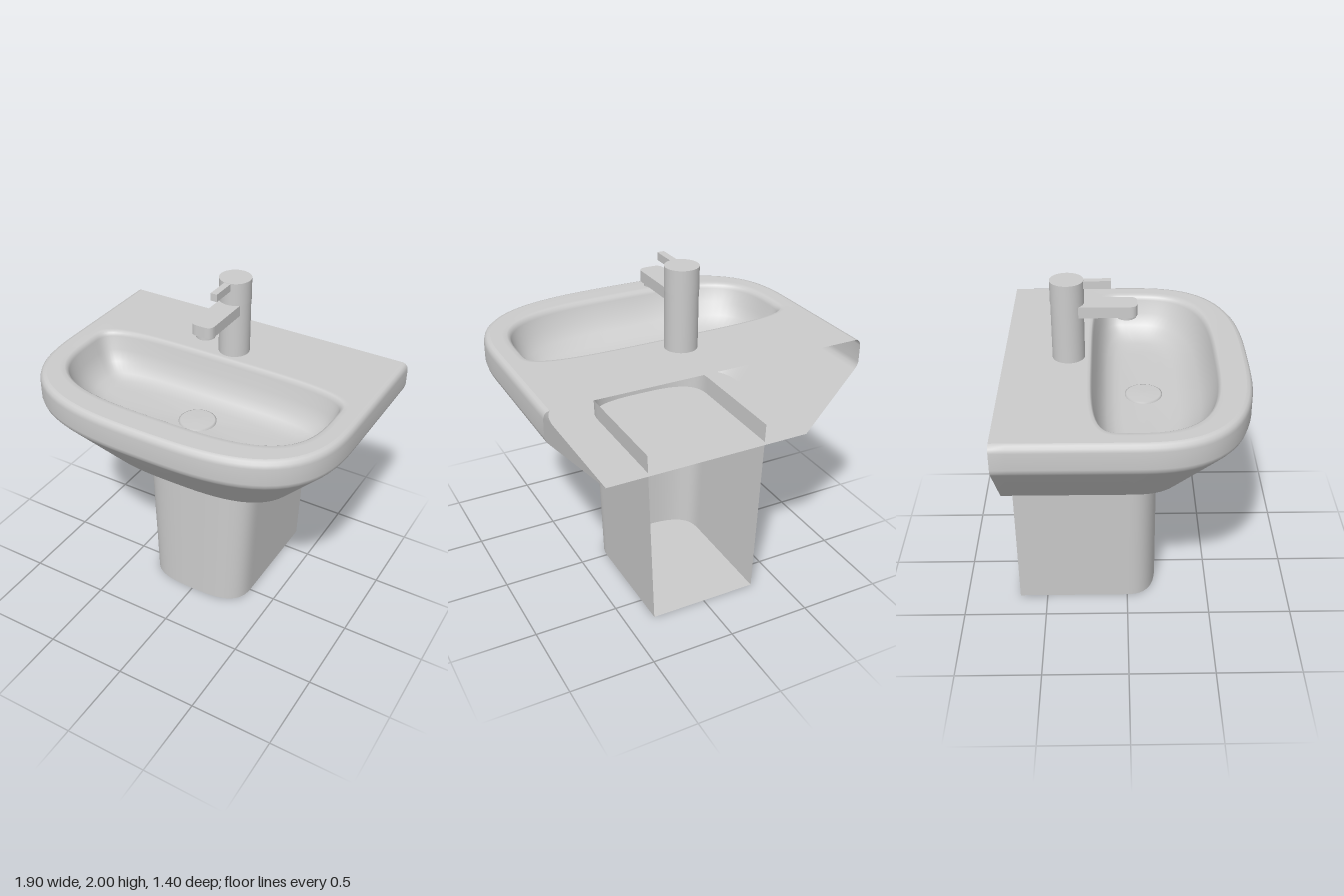
import * as THREE from 'three';

const SEG = 96; // samples around a full loop (multiple of 8 so square corners are hit)
const material = new THREE.MeshStandardMaterial({ color: 0xcccccc, side: THREE.DoubleSide });

function add(parent, name, geometry, x = 0, y = 0, z = 0) {
  const mesh = new THREE.Mesh(geometry, material);
  mesh.name = name;
  mesh.position.set(x, y, z);
  parent.add(mesh);
  return mesh;
}

// Skin a stack of rounded loops. Each ring: y, half width, back z, front z,
// centre z, and roundness exponents for back and front (Infinity = square).
// An open skin leaves out the stretch along the back wall.
function loft(rings, closed) {
  const count = closed ? SEG : SEG * 0.75 + 1;
  const pos = [], index = [];
  for (const { y, hw, back, front, zc = 0, nBack = Infinity, nFront = 2.9 } of rings) {
    for (let i = 0; i < count; i++) {
      const a = (i / SEG) * Math.PI * 2 - Math.PI / 4;
      const c = Math.cos(a), s = Math.sin(a);
      const n = s < 0 ? nBack : nFront;
      const r = n === Infinity
        ? 1 / Math.max(Math.abs(c), Math.abs(s))
        : (Math.abs(c) ** n + Math.abs(s) ** n) ** (-1 / n);
      pos.push(c * r * hw, y, zc + s * r * (s < 0 ? zc - back : front - zc));
    }
  }
  for (let j = 0; j < rings.length - 1; j++) {
    for (let i = 0; i < (closed ? count : count - 1); i++) {
      const k = (i + 1) % count;
      const a = j * count + i, b = j * count + k;
      const c = a + count, d = b + count;
      index.push(a, c, b, b, c, d);
    }
  }
  const g = new THREE.BufferGeometry();
  g.setAttribute('position', new THREE.Float32BufferAttribute(pos, 3));
  g.setIndex(index);
  g.computeVertexNormals();
  return g;
}

// Basin outline, pulled in by d at the sides and front; the back stays on the wall.
const outline = (y, d) => ({ y, hw: 0.95 - d, back: -0.7, front: 0.7 - d });
// Bowl cross-section.
const bowlRing = (y, hw, back, front, zc = 0) =>
  ({ y, hw, back, front, zc, nBack: 4, nFront: 3.2 });
// Pedestal cross-section.
const pedestalRing = (y, hw) => ({ y, hw, back: -0.67, front: 0.18, zc: -0.03, nFront: 3 });

function createBasin() {
  const basin = new THREE.Group();
  basin.name = 'basin';

  // Tapered underside and upright rim, open at the wall
  const sides = [[1, 0.32], [1.345, 0.022], [1.365, 0.007], [1.39, 0],
    [1.49, 0], [1.512, 0.006], [1.525, 0.018], [1.53, 0.035]];
  add(basin, 'basinSides', loft(sides.map(([y, d]) => outline(y, d)), false));

  // Flat plate under the basin
  add(basin, 'basinUnderside', loft([
    { y: 1, hw: 0, back: 0, front: 0 },
    outline(1, 0.32),
  ], true));

  // Tap deck running over a soft lip into the bowl
  add(basin, 'deckAndBowl', loft([
    outline(1.53, 0.035),
    bowlRing(1.53, 0.85, -0.225, 0.55),
    bowlRing(1.528, 0.825, -0.208, 0.525),
    bowlRing(1.518, 0.81, -0.2, 0.512),
    bowlRing(1.5, 0.802, -0.195, 0.505),
    bowlRing(1.42, 0.78, -0.175, 0.475),
    bowlRing(1.35, 0.745, -0.15, 0.42),
    bowlRing(1.3, 0.69, -0.115, 0.35, 0.03),
    bowlRing(1.28, 0.62, -0.07, 0.3, 0.06),
    bowlRing(1.27, 0.5, -0.03, 0.25, 0.1),
    bowlRing(1.265, 0, 0.1, 0.1, 0.1),
  ], true));

  // Low drain disc
  const drain = [[0.11, -0.015], [0.11, 0.006], [0.1, 0.01], [0, 0.012]];
  add(basin, 'drain', new THREE.LatheGeometry(
    drain.map(([r, y]) => new THREE.Vector2(r, y)), 40), 0, 1.267, 0.1);
  return basin;
}

function createPedestal() {
  const pedestal = new THREE.Group();
  pedestal.name = 'pedestal';
  // Wrap-around wall, open at the back and reaching up inside the basin
  add(pedestal, 'pedestalWall', loft([
    pedestalRing(0, 0.33), pedestalRing(1, 0.368), pedestalRing(1.11, 0.372),
  ], false));
  add(pedestal, 'pedestalFoot', loft([
    { y: 0, hw: 0, back: -0.03, front: -0.03, zc: -0.03 },
    pedestalRing(0, 0.33),
  ], true));
  return pedestal;
}

function createTap() {
  const tap = new THREE.Group();
  tap.name = 'tap';
  tap.position.x = -0.004;

  // Body passes through the deck; the cap turns with the lever
  add(tap, 'tapBody', new THREE.CylinderGeometry(0.093, 0.093, 0.385, 40, 1, true), 0, 1.6725, -0.33);
  add(tap, 'tapCap', new THREE.CylinderGeometry(0.095, 0.095, 0.135, 40), 0, 1.9325, -0.33);
  add(tap, 'lever', new THREE.BoxGeometry(0.04, 0.045, 0.22), 0, 1.976, -0.195);

  // Flat spout with softened front corners
  const w = 0.068, tip = 0.06, r = 0.045;
  const shape = new THREE.Shape();
  shape.moveTo(-w, -0.3);
  shape.lineTo(w, -0.3);
  shape.lineTo(w, tip - r);
  shape.quadraticCurveTo(w, tip, w - r, tip);
  shape.lineTo(r - w, tip);
  shape.quadraticCurveTo(-w, tip, -w, tip - r);
  shape.closePath();
  const spout = new THREE.ExtrudeGeometry(shape, { depth: 0.065, bevelEnabled: false });
  spout.rotateX(Math.PI / 2);
  add(tap, 'spout', spout, 0, 1.864, 0);
  add(tap, 'spoutOutlet', new THREE.CylinderGeometry(0.055, 0.055, 0.03, 32), 0, 1.793, 0);
  return tap;
}

export function createModel() {
  const model = new THREE.Group();
  model.name = 'pedestalWashbasin';
  model.add(createBasin(), createPedestal(), createTap());
  return model;
}
